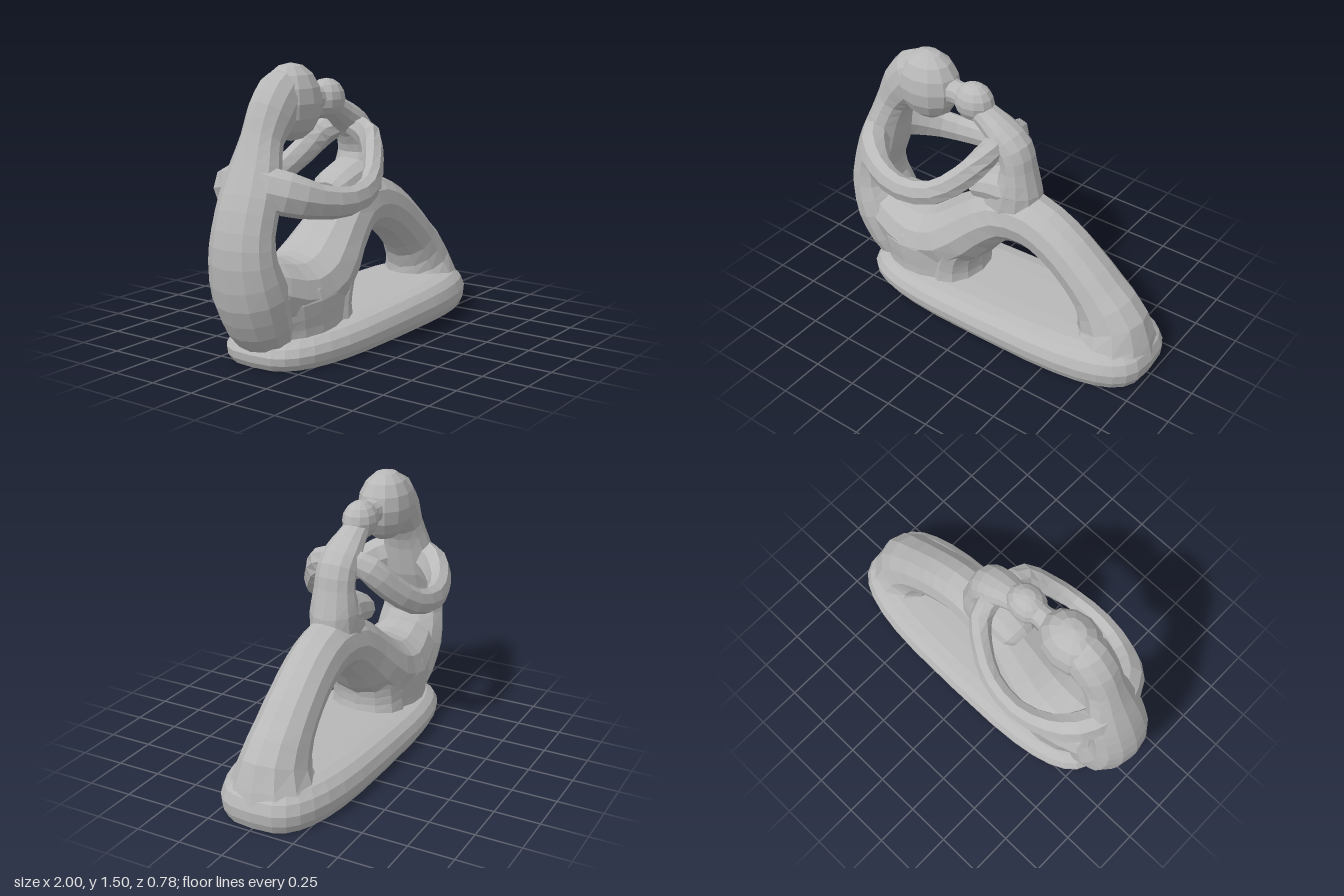
import * as THREE from 'three';

const stone = new THREE.MeshStandardMaterial({ color: 0xb8b8b8 });
stone.name = 'grey stone';

// Skin a stack of closed rings, with fan caps and faceted normals
function skin(rings) {
  const n = rings[0].length, pos = [], idx = [];
  rings.forEach(r => r.forEach(p => pos.push(p.x, p.y, p.z)));
  const cap = (ring) => {
    const c = new THREE.Vector3();
    ring.forEach(p => c.addScaledVector(p, 1 / n));
    pos.push(c.x, c.y, c.z);
    return pos.length / 3 - 1;
  };
  for (let i = 0; i < rings.length - 1; i++) for (let j = 0; j < n; j++) {
    const k = (j + 1) % n, a = i * n + j, b = i * n + k;
    idx.push(a, b, b + n, a, b + n, a + n);
  }
  const first = cap(rings[0]), last = cap(rings[rings.length - 1]), top = (rings.length - 1) * n;
  for (let j = 0; j < n; j++) {
    const k = (j + 1) % n;
    idx.push(first, k, j, last, top + j, top + k);
  }
  const g = new THREE.BufferGeometry();
  g.setAttribute('position', new THREE.Float32BufferAttribute(pos, 3));
  g.setIndex(idx);
  return faceted(g);
}

function faceted(g) {
  const flat = g.toNonIndexed();
  flat.computeVertexNormals();
  return flat;
}

// Elliptical limb through stations [x, y, z, radius across, radius along ref]
function limb(stations, ref, sides = 12) {
  const path = new THREE.CatmullRomCurve3(stations.map(s => new THREE.Vector3(s[0], s[1], s[2])));
  const radii = new THREE.CatmullRomCurve3(stations.map(s => new THREE.Vector3(s[3], s[4], 0)));
  const steps = (stations.length - 1) * 2, rings = [];
  for (let i = 0; i <= steps; i++) {
    const u = i / steps, c = path.getPoint(u), t = path.getTangent(u), r = radii.getPoint(u);
    const n = ref.clone().cross(t).normalize(), b = t.clone().cross(n);
    rings.push(Array.from({ length: sides }, (_, j) => {
      const a = j / sides * Math.PI * 2;
      return c.clone().addScaledVector(n, r.x * Math.cos(a)).addScaledVector(b, r.y * Math.sin(a));
    }));
  }
  return skin(rings);
}

// Rounded plinth, slightly thicker towards +x
function plinth() {
  const layers = [[0, 0.025], [0.04, 0.005], [0.09, 0], [0.14, 0.02], [0.175, 0.06], [0.19, 0.12], [0.195, 0.22]];
  const round = v => Math.sign(v) * Math.abs(v) ** 0.63;
  return skin(layers.map(([y, inset]) => Array.from({ length: 32 }, (_, j) => {
    const a = j / 32 * Math.PI * 2;
    const x = 0.09 + (0.91 - inset) * round(Math.sin(a));
    return new THREE.Vector3(x, y * (0.95 + 0.2 * x), (0.34 - inset) * round(Math.cos(a)));
  })));
}

export function createModel() {
  const model = new THREE.Group();
  model.name = 'embracingFigures';
  const Z = new THREE.Vector3(0, 0, 1), Y = new THREE.Vector3(0, 1, 0);
  const add = (name, geometry) => {
    const mesh = new THREE.Mesh(geometry, stone);
    mesh.name = name;
    model.add(mesh);
  };
  // Limb lying in the middle plane: stations [x, y, in-plane radius, z radius]
  const flatLimb = (name, s, sides) => add(name, limb(s.map(([x, y, a, b]) => [x, y, 0, a, b]), Z, sides));
  const head = (name, x, y, rx, ry, rz) => {
    const g = new THREE.SphereGeometry(1, 12, 8);
    g.scale(rx, ry, rz).translate(x, y, 0);
    add(name, faceted(g));
  };

  add('base', plinth());

  // Large figure: back and neck, seat, lap sweeping over the knee to the hem, folded shin
  flatLimb('largeTorso', [
    [-0.68, 0.09, 0.10, 0.15], [-0.74, 0.22, 0.155, 0.19], [-0.805, 0.38, 0.17, 0.21],
    [-0.862, 0.56, 0.137, 0.19], [-0.855, 0.70, 0.125, 0.175], [-0.80, 0.86, 0.125, 0.17],
    [-0.748, 1.02, 0.105, 0.14], [-0.70, 1.14, 0.105, 0.112], [-0.63, 1.245, 0.135, 0.12],
    [-0.555, 1.33, 0.14, 0.12], [-0.48, 1.38, 0.11, 0.09]]);
  flatLimb('seat', [
    [-0.46, 0.08, 0.31, 0.235], [-0.46, 0.20, 0.33, 0.235], [-0.475, 0.33, 0.355, 0.245],
    [-0.48, 0.43, 0.28, 0.20]], 18);
  flatLimb('lapAndDrapery', [
    [-0.89, 0.48, 0.11, 0.14], [-0.735, 0.385, 0.175, 0.20], [-0.51, 0.33, 0.192, 0.24],
    [-0.30, 0.39, 0.195, 0.24], [-0.11, 0.56, 0.17, 0.195], [0.04, 0.675, 0.16, 0.165],
    [0.22, 0.69, 0.155, 0.145], [0.38, 0.63, 0.145, 0.145], [0.52, 0.53, 0.14, 0.15],
    [0.645, 0.41, 0.15, 0.16], [0.74, 0.265, 0.20, 0.185], [0.765, 0.10, 0.23, 0.27]]);
  flatLimb('foldedShin', [
    [-0.13, 0.52, 0.12, 0.17], [-0.24, 0.36, 0.13, 0.215], [-0.275, 0.24, 0.145, 0.215],
    [-0.28, 0.10, 0.17, 0.23]]);
  head('largeHead', -0.47, 1.303, 0.185, 0.198, 0.147);

  // Small figure: torso, lap and head
  flatLimb('smallTorso', [
    [0.07, 0.70, 0.20, 0.14], [0.115, 0.88, 0.135, 0.135], [0.12, 1.00, 0.09, 0.115],
    [0.09, 1.10, 0.095, 0.11], [0.02, 1.17, 0.08, 0.105], [-0.06, 1.22, 0.07, 0.085],
    [-0.15, 1.27, 0.06, 0.07]]);
  flatLimb('smallLap', [
    [0.14, 0.87, 0.10, 0.13], [0.00, 0.85, 0.10, 0.13], [-0.12, 0.815, 0.085, 0.12],
    [-0.165, 0.80, 0.055, 0.08]]);
  head('smallHead', -0.17, 1.295, 0.115, 0.107, 0.095);
  flatLimb('kissBridge', [[-0.38, 1.31, 0.08, 0.09], [-0.28, 1.305, 0.068, 0.06], [-0.19, 1.3, 0.07, 0.065]]);

  // Arms looping out on both sides from the large shoulders to the small ones
  for (const s of [1, -1]) {
    const arm = [
      [-0.80, 0.93, 0.04, 0.08, 0.11], [-0.735, 0.89, 0.18, 0.085, 0.11],
      [-0.61, 0.845, 0.278, 0.067, 0.088], [-0.42, 0.825, 0.332, 0.056, 0.075],
      [-0.22, 0.865, 0.31, 0.053, 0.072], [-0.07, 0.985, 0.23, 0.055, 0.075],
      [0.005, 1.09, 0.15, 0.06, 0.075], [0.02, 1.14, 0.04, 0.06, 0.06]];
    add(s > 0 ? 'frontArms' : 'backArms', limb(arm.map(([x, y, z, a, b]) => [x, y, z * s, a, b]), Y, 8));
  }
  return model;
}
